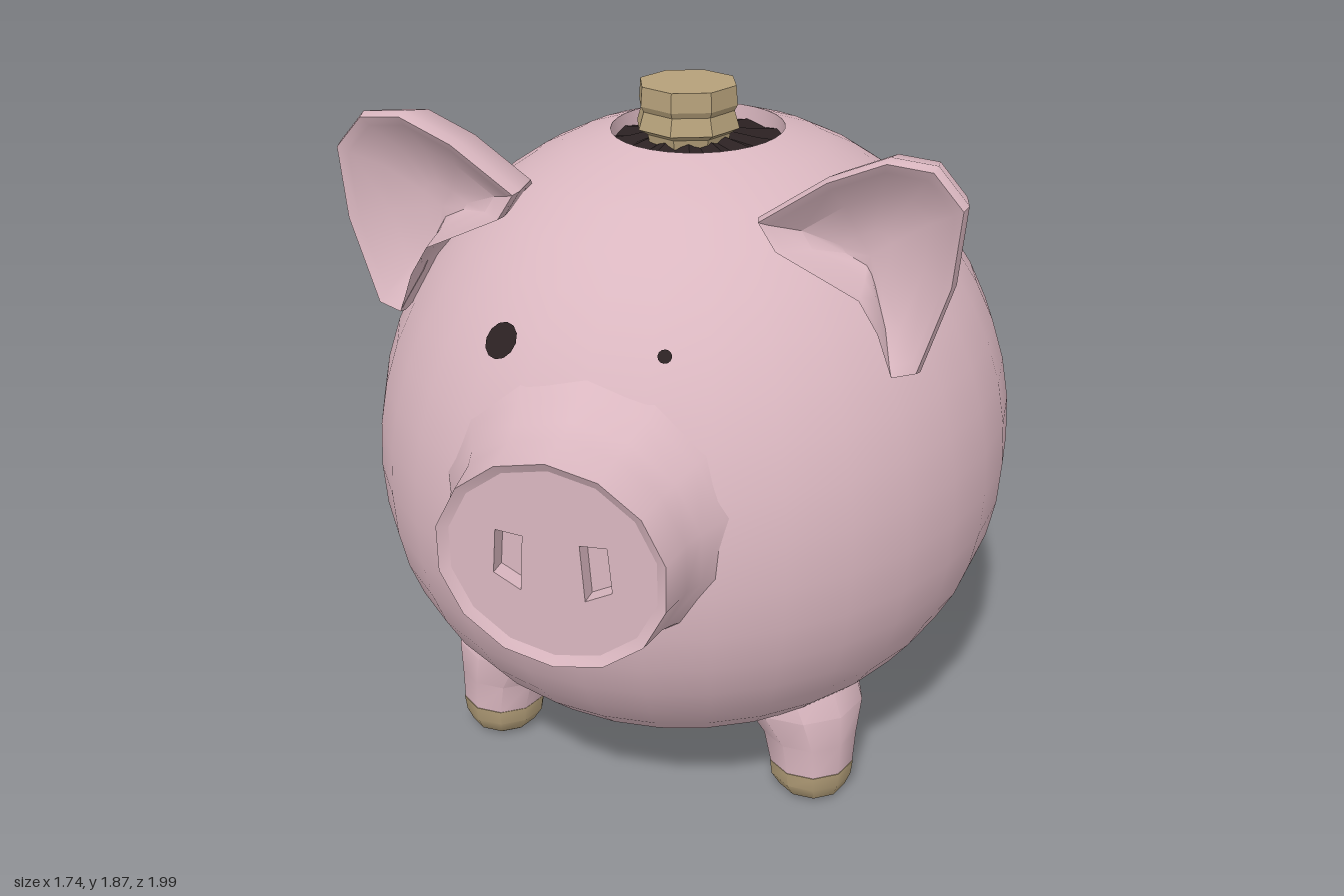
import * as THREE from 'three';
import { toCreasedNormals } from 'three/addons/utils/BufferGeometryUtils.js';

const mat = (name, color) => {
  const m = new THREE.MeshStandardMaterial({ color });
  m.name = name;
  return m;
};
const V2 = (p) => new THREE.Vector2(p[0], p[1]);

// Body centre and radii: separate radii for top/bottom and front/back
const C = { y: 0.87, z: -0.08, x: 0.87, up: 0.895, down: 0.78, front: 0.96, back: 0.92 };
const HOLE = 0.228;

// Turn a profile around the body axis, then stretch front and back to the body's depth
function turnBody(points) {
  const g = new THREE.LatheGeometry(points, 32);
  const p = g.attributes.position;
  for (let i = 0; i < p.count; i++) {
    const z = p.getZ(i);
    p.setZ(i, C.z + z * (z > 0 ? C.front : C.back) / C.x);
  }
  return g;
}

// Skin a list of rings (counterclockwise about their travel direction), closing both ends
function loft(rings) {
  const n = rings[0].length, pos = [], idx = [];
  rings.forEach((r) => r.forEach((p) => pos.push(...p)));
  for (let i = 0; i < rings.length - 1; i++)
    for (let j = 0; j < n; j++) {
      const a = i * n + j, b = i * n + (j + 1) % n;
      idx.push(a, b, b + n, a, b + n, a + n);
    }
  const cap = (ring, base, flip) => {
    const c = pos.length / 3;
    pos.push(...[0, 1, 2].map((k) => ring.reduce((s, p) => s + p[k], 0) / n));
    for (let j = 0; j < n; j++) {
      const a = base + j, b = base + (j + 1) % n;
      idx.push(c, flip ? b : a, flip ? a : b);
    }
  };
  cap(rings[0], 0, true);
  cap(rings[rings.length - 1], (rings.length - 1) * n, false);
  const g = new THREE.BufferGeometry();
  g.setAttribute('position', new THREE.Float32BufferAttribute(pos, 3));
  g.setIndex(idx);
  return g;
}

// Horizontal ring; angles run so that rings stacked upwards face outward
const ring = (x, y, z, r, n = 10) => Array.from({ length: n }, (_, i) => {
  const a = -(i / n) * Math.PI * 2;
  return [x + r * Math.cos(a), y, z + r * Math.sin(a)];
});

export function createModel() {
  const pig = new THREE.Group();
  pig.name = 'piggyBank';
  const pink = mat('pink', 0xdab7c0);
  const tan = mat('tan', 0xb5a07a);
  const dark = mat('dark', 0x2b2122);

  const add = (name, geo, material, crease = 0.7) => {
    const m = new THREE.Mesh(crease ? toCreasedNormals(geo, crease) : geo, material);
    m.name = name;
    pig.add(m);
    return m;
  };

  // Round body, slightly squared below, open at the top
  const profile = [];
  const end = Math.acos((HOLE / C.x) ** (2.05 / 2));
  for (let i = 0; i <= 22; i++) {
    const t = -Math.PI / 2 + (i / 22) * (end + Math.PI / 2);
    const e = 2 / (t > 0 ? 2.05 : 2.15);
    const h = Math.sign(t) * Math.abs(Math.sin(t)) ** e;
    profile.push(V2([C.x * Math.max(0, Math.cos(t)) ** e, C.y + h * (t > 0 ? C.up : C.down)]));
  }
  add('body', turnBody(profile), pink, 1);

  // Opening: inner wall and dark pleated skirt around the stopper
  const top = profile[22].y;
  add('openingWall', turnBody([[HOLE, top], [HOLE - 0.002, 1.66]].map(V2)), pink);
  const skirt = loft([[0.262, 1.685], [0.17, 1.705], [0.08, 1.735]].map(([r, y], k) =>
    ring(0, y, -0.072 + k * 0.03, r, 24).map((p, i) => [p[0], p[1] + (i % 2) * 0.012, p[2]])));
  add('openingLining', skirt, dark, 0.2);

  // Stopper
  const cork = new THREE.LatheGeometry(
    [[0, 1.7], [0.105, 1.7], [0.115, 1.745], [0.14, 1.76], [0.126, 1.805], [0.134, 1.82], [0.13, 1.87], [0, 1.87]].map(V2), 8);
  add('stopper', cork, tan, 0.3).position.set(-0.005, 0, -0.01);

  // Snout: flared tube with a shallow rim
  const snout = new THREE.LatheGeometry(
    [[0.44, 0.65], [0.36, 0.775], [0.322, 0.84], [0.303, 0.89], [0.288, 0.988], [0.262, 0.974]].map(V2), 14);
  snout.rotateX(Math.PI / 2).scale(1, 0.93, 1).translate(0, 0.995, 0);
  add('snout', snout, pink, 0.75);

  // Snout disc with two nostril pits
  const disc = new THREE.Shape();
  disc.absellipse(0, 0.995, 0.266, 0.248, 0, Math.PI * 2);
  for (const s of [-1, 1]) {
    const hole = new THREE.Path();
    hole.setFromPoints([[0.07, 1.06], [0.137, 1.065], [0.147, 0.95], [0.08, 0.915]].map(([x, y]) => V2([s * x, y])));
    hole.closePath();
    disc.holes.push(hole);
  }
  add('snoutDisc', new THREE.ExtrudeGeometry(disc, { depth: 0.05, bevelEnabled: false, curveSegments: 10 }), pink, 0.4)
    .position.z = 0.924;
  add('nostrilFloor', new THREE.CircleGeometry(0.22, 16), pink, 0).position.set(0, 0.995, 0.93);

  // Eyes: thin discs lying on the body, the left one much smaller
  for (const [name, x, y, r] of [['rightEye', -0.24, 1.39, 0.047], ['leftEye', 0.17, 1.41, 0.017]]) {
    const k = Math.sqrt((1 - ((y - C.y) / C.up) ** 2.05) ** (2 / 2.05) - (x / C.x) ** 2);
    const p = new THREE.Vector3(x, y, C.z + C.front * k);
    const nrm = new THREE.Vector3(x / C.x ** 2, (y - C.y) / C.up ** 2, k / C.front).normalize();
    const eye = add(name, new THREE.CircleGeometry(r, 12), dark, 0);
    eye.position.copy(p).addScaledVector(nrm, 0.008);
    eye.quaternion.setFromUnitVectors(new THREE.Vector3(0, 0, 1), nrm);
  }

  // Cupped ears: a rim outline shrunk towards the head behind and inside [scale, z, inward shift]
  const rim = [[0.65, 1.31], [0.71, 1.33], [0.78, 1.56], [0.795, 1.75], [0.72, 1.835], [0.61, 1.845],
    [0.47, 1.785], [0.305, 1.67], [0.35, 1.6], [0.56, 1.5], [0.61, 1.42]];
  const steps = [[0.3, 0.12, 0.08], [0.68, 0.2, 0.03], [0.9, 0.27, 0], [1, 0.39, 0],
    [0.97, 0.42, 0], [0.88, 0.405, 0], [0.62, 0.345, 0], [0.25, 0.315, 0]];
  for (const s of [1, -1]) {
    const rings = steps.map(([k, z, d]) => {
      const r = rim.map(([x, y]) => [s * (0.55 - d + (x - 0.55) * k), 1.57 - d + (y - 1.57) * k, z]);
      return s > 0 ? r : r.reverse();
    });
    add(s > 0 ? 'leftEar' : 'rightEar', loft(rings), pink, 0.75);
  }

  // Stubby legs leaning inward, each with a hoof
  for (const s of [1, -1])
    for (const [end2, z] of [['Front', 0.315], ['Rear', -0.42]]) {
      const side = s > 0 ? 'left' : 'right';
      const build = (rows) => loft(rows.map(([x, y, dz, r]) => ring(s * x, y, z + dz * Math.sign(z), r)));
      add(side + end2 + 'Leg', build([[0.465, 0.095, 0, 0.118], [0.455, 0.19, -0.01, 0.132],
        [0.42, 0.29, -0.03, 0.175], [0.36, 0.4, -0.07, 0.19]]), pink);
      add(side + end2 + 'Hoof', build([[0.47, 0, 0, 0.075], [0.47, 0.015, 0, 0.095],
        [0.465, 0.055, 0, 0.115], [0.465, 0.1, 0, 0.12]]), tan);
    }

  return pig;
}
